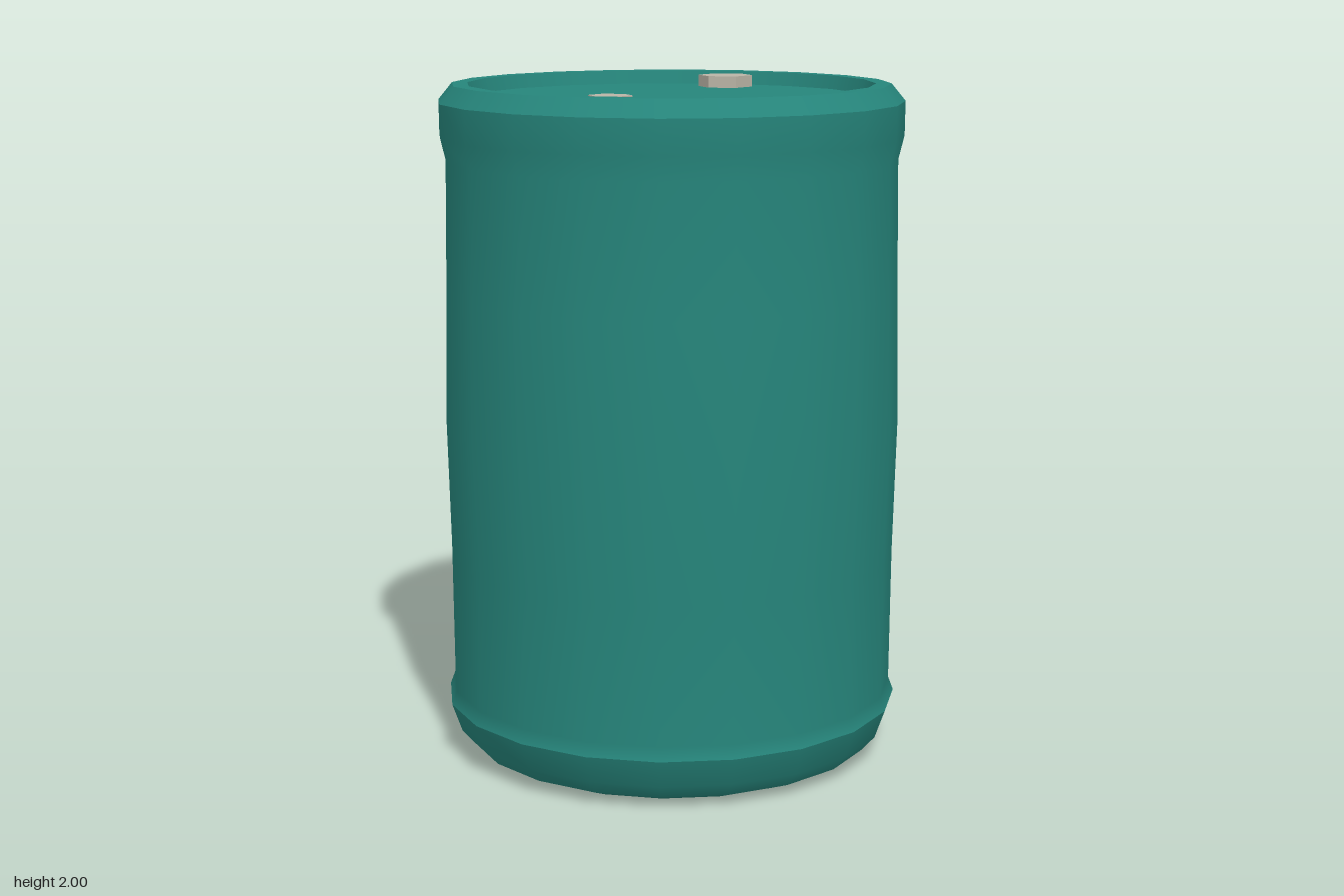
import * as THREE from 'three';

const SIDES = 20;

export function createModel() {
  const model = new THREE.Group();
  model.name = 'drum';

  const teal = new THREE.MeshStandardMaterial({ color: 0x26857b });
  teal.name = 'teal plastic';
  const grey = new THREE.MeshStandardMaterial({ color: 0xbab4a6 });
  grey.name = 'warm grey cap';

  // Each lathe is smooth in itself; sharp edges fall between lathes.
  const turn = (name, profile) => {
    const points = profile.map(([r, y]) => new THREE.Vector2(r, y));
    const mesh = new THREE.Mesh(new THREE.LatheGeometry(points, SIDES), teal);
    mesh.name = name;
    model.add(mesh);
  };

  turn('bottom', [[0, 0], [0.54, 0], [0.61, 0.03]]);
  turn('lowerCurve', [[0.61, 0.03], [0.65, 0.075], [0.68, 0.16]]);
  turn('body', [
    [0.68, 0.16], [0.665, 0.2], [0.668, 0.6], [0.678, 1], [0.67, 1.4],
    [0.665, 1.78], [0.682, 1.85], [0.683, 1.95],
  ]);
  turn('rimBevel', [[0.683, 1.95], [0.642, 2]]);
  turn('rimTop', [[0.642, 2], [0.597, 2]]);
  turn('recessWall', [[0.597, 2], [0.585, 1.96]]);
  turn('lid', [[0.585, 1.96], [0, 1.96]]);

  // Hexagonal screw caps: a large one at the back, a small one at the front.
  const addCap = (name, radius, z) => {
    const cap = new THREE.Mesh(
      new THREE.CylinderGeometry(radius, radius, 0.035, 6).toNonIndexed(), grey);
    cap.geometry.computeVertexNormals();
    cap.name = name;
    cap.position.set(0, 1.9775, z);
    cap.rotation.y = THREE.MathUtils.degToRad(-18);
    model.add(cap);
  };
  addCap('largeCap', 0.084, -0.477);
  addCap('smallCap', 0.062, 0.47);

  return model;
}
